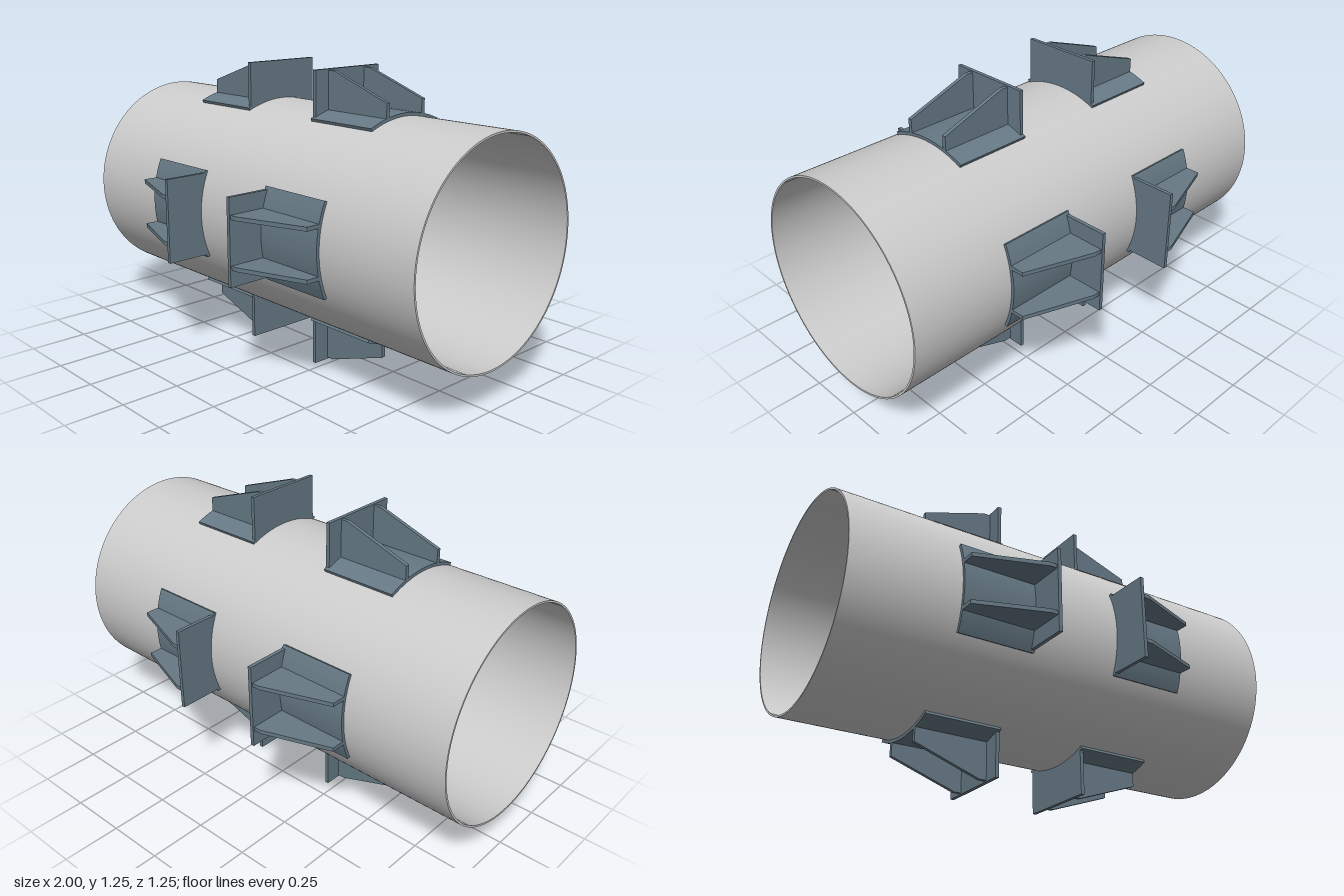
import * as THREE from 'three';
import { toCreasedNormals } from 'three/addons/utils/BufferGeometryUtils.js';

const AXIS_Y = 0.63, PIPE_R = 0.46, PIPE_INNER = 0.452, PAD_R = 0.473;
const PAD_ANGLE = 0.42, START = 0.198, END = 0.535, PLATE = 0.016;

const pipeMaterial = new THREE.MeshStandardMaterial({ color: 0xcccccc });
const steelMaterial = new THREE.MeshStandardMaterial({ color: 0x667985 });

function extrude(shape, depth, curveSegments) {
  return new THREE.ExtrudeGeometry(shape, { depth, curveSegments, bevelEnabled: false });
}

// Cross-section extruded along x between two stations
function alongX(shape, x0, x1, curveSegments) {
  const geometry = extrude(shape, x1 - x0, curveSegments);
  geometry.rotateY(Math.PI / 2).translate(x0, 0, 0);
  return toCreasedNormals(geometry, 0.5);
}

function addMesh(parent, name, geometry, material) {
  const mesh = new THREE.Mesh(geometry, material);
  mesh.name = name;
  parent.add(mesh);
  return mesh;
}

// Curved saddle pad hugging the pipe
function padGeometry() {
  const a0 = Math.PI / 2 - PAD_ANGLE, a1 = Math.PI / 2 + PAD_ANGLE;
  const shape = new THREE.Shape();
  shape.absarc(0, 0, PAD_R, a0, a1, false);
  shape.absarc(0, 0, PIPE_R - 0.001, a1, a0, true);
  return alongX(shape, START, END, 24);
}

// Upright stop plate with an arched lower edge
function plateGeometry() {
  const half = 0.18, top = 0.626, r = PAD_R - 0.003;
  const a = Math.asin(half / r);
  const shape = new THREE.Shape();
  shape.moveTo(half, top);
  shape.lineTo(-half, top);
  shape.absarc(0, 0, r, Math.PI / 2 + a, Math.PI / 2 - a, true);
  return alongX(shape, START, START + PLATE, 24);
}

// Tapered gusset behind the plate
function ribGeometry() {
  const thickness = 0.017;
  const x0 = START + PLATE;
  const shape = new THREE.Shape([
    new THREE.Vector2(x0, 0.46),
    new THREE.Vector2(END, 0.46),
    new THREE.Vector2(END, 0.52),
    new THREE.Vector2(0.245, 0.62),
    new THREE.Vector2(x0, 0.62),
  ]);
  return extrude(shape, thickness, 1).translate(0, 0, -thickness / 2);
}

export function createModel() {
  const model = new THREE.Group();
  model.name = 'pipeWithBrackets';

  const assembly = new THREE.Group();
  assembly.name = 'pipeAssembly';
  assembly.position.y = AXIS_Y;
  model.add(assembly);

  // Hollow pipe
  const ring = new THREE.Shape().absarc(0, 0, PIPE_R, 0, Math.PI * 2, false);
  ring.holes.push(new THREE.Path().absarc(0, 0, PIPE_INNER, 0, Math.PI * 2, true));
  addMesh(assembly, 'pipe', alongX(ring, -1, 1, 96), pipeMaterial);

  // Four brackets around the pipe at each of two facing stations
  const pad = padGeometry(), plate = plateGeometry(), rib = ribGeometry();
  for (const side of ['left', 'right']) {
    const station = new THREE.Group();
    station.name = side + 'Brackets';
    if (side === 'right') station.rotation.y = Math.PI;
    assembly.add(station);
    for (let i = 0; i < 4; i++) {
      const bracket = new THREE.Group();
      bracket.name = 'bracket';
      bracket.rotation.x = i * Math.PI / 2;
      addMesh(bracket, 'saddlePad', pad, steelMaterial);
      addMesh(bracket, 'stopPlate', plate, steelMaterial);
      for (const z of [-0.101, 0.101]) {
        addMesh(bracket, 'gusset', rib, steelMaterial).position.z = z;
      }
      station.add(bracket);
    }
  }
  return model;
}
